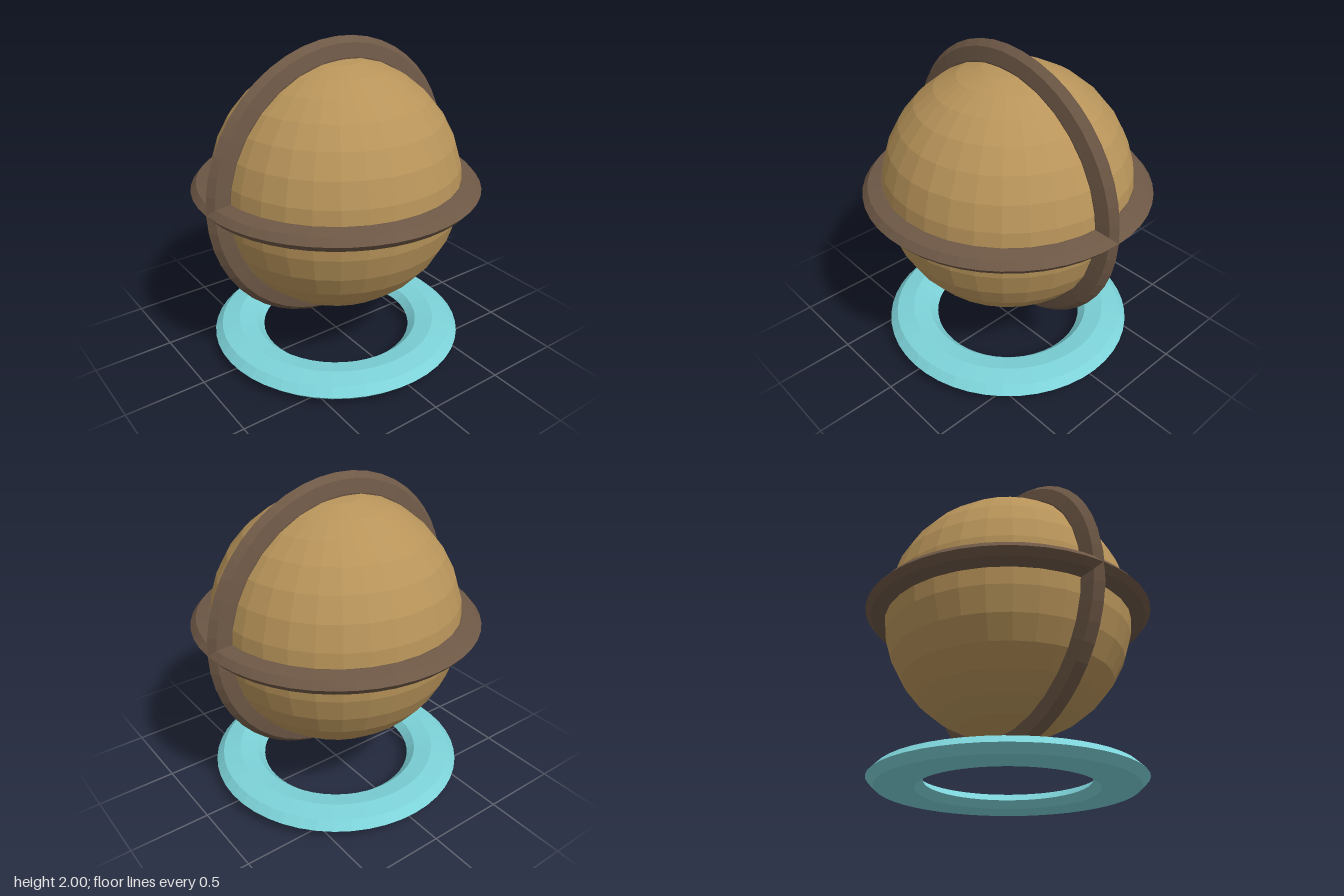
import * as THREE from 'three';

const CENTRE_Y = 1.105;

function flatMaterial(name, color) {
  const material = new THREE.MeshStandardMaterial({ color, flatShading: true });
  material.name = name;
  return material;
}

// Torus squashed along its own axis, so its section is a flat octagonal oval
function flattenedRing(radius, halfWidth, halfThickness) {
  return new THREE.TorusGeometry(radius, halfWidth, 8, 48)
    .scale(1, 1, halfThickness / halfWidth);
}

export function createModel() {
  const group = new THREE.Group();
  const ochre = flatMaterial('ochre', 0xb8945a);
  const brown = flatMaterial('brown', 0x6e5846);
  const aqua = flatMaterial('aqua', 0x7cd2d8);

  const add = (name, geometry, material, y) => {
    const mesh = new THREE.Mesh(geometry, material);
    mesh.name = name;
    mesh.position.y = y;
    group.add(mesh);
  };

  // Globe
  add('globe', new THREE.SphereGeometry(0.778, 32, 16), ochre, CENTRE_Y - 0.005);

  // Two crossing bands around the globe
  add('equatorBand', flattenedRing(0.777, 0.118, 0.059).rotateX(Math.PI / 2), brown, CENTRE_Y);
  add('meridianBand', flattenedRing(0.777, 0.118, 0.059).rotateY(Math.PI / 2), brown, CENTRE_Y);

  // Separate ring on the ground below
  add('baseRing', flattenedRing(0.65, 0.162, 0.065).rotateX(Math.PI / 2), aqua, 0.065);

  return group;
}
